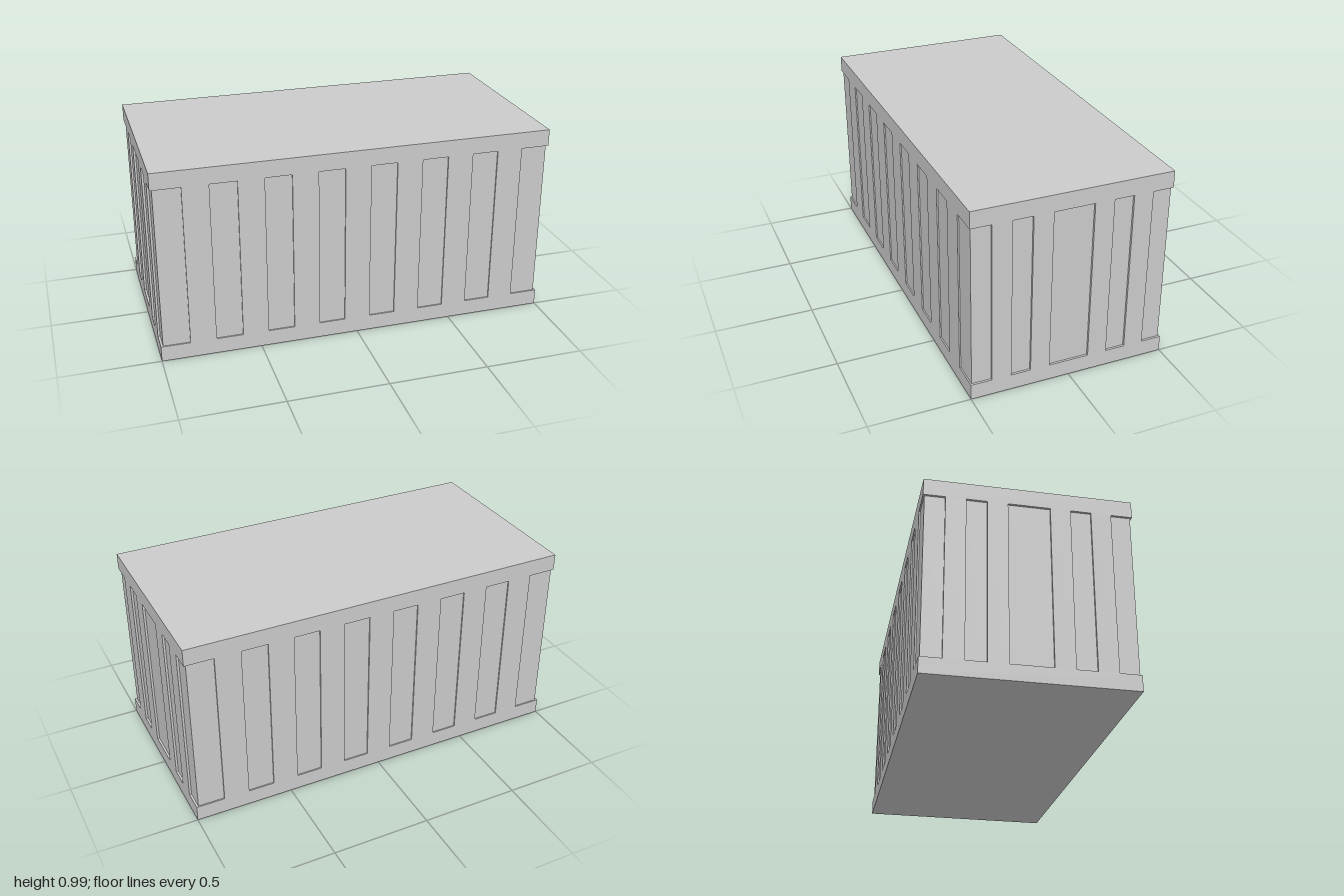
import * as THREE from 'three';

const HALF_X = 1, HALF_Z = 0.5, HEIGHT = 0.99;
const RAIL_LOW = 0.08, RAIL_HIGH = 0.905;
const DEPTH_X = 0.011, DEPTH_Z = 0.007; // recess depth on the end and long walls

// Rib centres and widths along the long and the end walls
const LONG_RIBS = { centres: [-3, -2, -1, 0, 1, 2, 3].map((i) => i * 0.2633), width: 0.13 };
const END_RIBS = { centres: [-0.347, -0.15, 0.15, 0.347], width: 0.098 };

// Points of one wall: runs along +u, with ribs standing out from the recess
function wallPoints({ centres, width }, outer, depth) {
  const points = [];
  for (const c of centres) {
    const a = c - width / 2, b = c + width / 2;
    points.push([a, outer - depth], [a, outer], [b, outer], [b, outer - depth]);
  }
  return points;
}

// Plan outline of the ribbed walls, counter-clockwise
function wallOutline() {
  const cx = HALF_X - DEPTH_X, cz = HALF_Z - DEPTH_Z;
  const long = wallPoints(LONG_RIBS, HALF_Z, DEPTH_Z);
  const end = wallPoints(END_RIBS, HALF_X, DEPTH_X);
  const half = [
    [-cx, -cz], ...long.map(([u, d]) => [u, -d]),
    [cx, -cz], ...end.map(([u, d]) => [d, u]),
  ];
  const outline = [...half, ...half.map(([x, y]) => [-x, -y])];
  return new THREE.Shape(outline.map(([x, y]) => new THREE.Vector2(x, y)));
}

export function createModel() {
  const model = new THREE.Group();
  model.name = 'shippingContainer';
  const material = new THREE.MeshStandardMaterial({ color: 0xcccccc, flatShading: true });

  const add = (name, geometry, y) => {
    const mesh = new THREE.Mesh(geometry, material);
    mesh.name = name;
    mesh.position.y = y;
    model.add(mesh);
  };

  // Ribbed walls between the two solid rails
  const walls = new THREE.ExtrudeGeometry(wallOutline(), {
    depth: RAIL_HIGH - RAIL_LOW, bevelEnabled: false,
  });
  walls.rotateX(-Math.PI / 2);
  add('ribbedWalls', walls, RAIL_LOW);

  // Floor and roof slabs
  const slab = (h) => new THREE.BoxGeometry(HALF_X * 2, h, HALF_Z * 2);
  add('floor', slab(RAIL_LOW), RAIL_LOW / 2);
  add('roof', slab(HEIGHT - RAIL_HIGH), (HEIGHT + RAIL_HIGH) / 2);

  return model;
}
